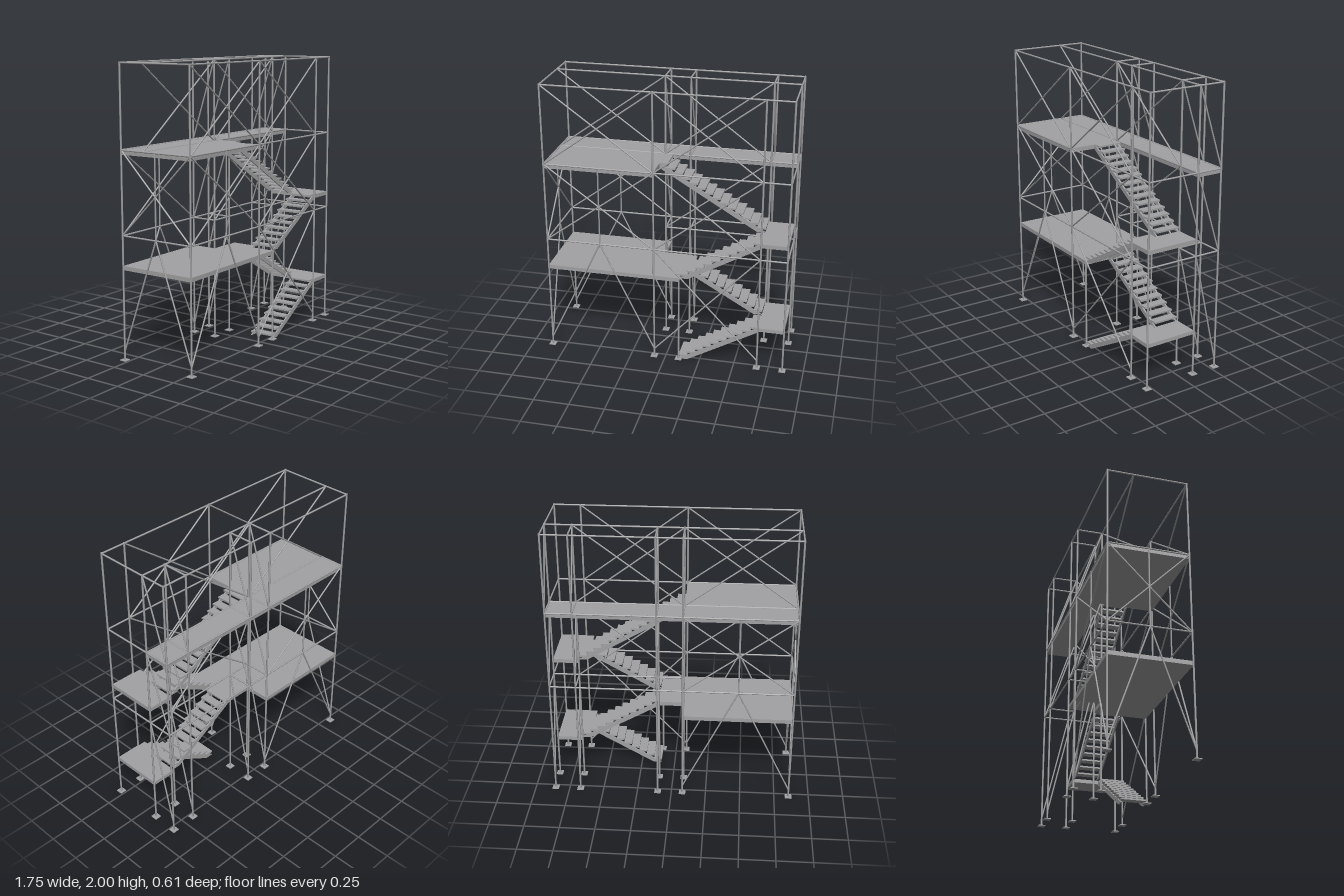
import * as THREE from 'three';

const steel = new THREE.MeshStandardMaterial({ color: 0xa2a2a4 });
steel.name = 'galvanised steel';

// Post lines, level heights and depth lines of the frame
const X = [-0.853, -0.08, 0.1, 0.668, 0.852];
const FRONT = 0.283, MID = -0.097, BACK = -0.283;
const FOOT = 0.06, LOW = 0.86, DECK = 1.43, TOP = 1.994;
const XM = (X[0] + X[1]) / 2;

export function createModel() {
  const model = new THREE.Group();
  model.name = 'scaffoldStairTower';

  const add = (name, geo) => {
    const m = new THREE.Mesh(geo, steel);
    m.name = name;
    model.add(m);
    return m;
  };
  // Round bar between two points
  const bar = (name, a, b, r = 0.0055) => {
    const p = new THREE.Vector3(...a), q = new THREE.Vector3(...b);
    const d = q.clone().sub(p);
    const m = add(name, new THREE.CylinderGeometry(r, r, d.length(), 8));
    m.position.copy(p).add(q).multiplyScalar(0.5);
    m.quaternion.setFromUnitVectors(new THREE.Vector3(0, 1, 0), d.normalize());
  };
  // Box given by its limits
  const slab = (name, x0, x1, y0, y1, z0, z1) => {
    const m = add(name, new THREE.BoxGeometry(x1 - x0, y1 - y0, z1 - z0));
    m.position.set((x0 + x1) / 2, (y0 + y1) / 2, (z0 + z1) / 2);
  };
  const cross = (x0, x1, y0, y1, z) => {
    bar('crossBrace', [x0, y0, z], [x1, y1, z]);
    bar('crossBrace', [x0, y1, z], [x1, y0, z]);
  };

  // Posts with base plates
  const post = (x, z, h = 2) => {
    bar('post', [x, 0, z], [x, h, z], 0.0068);
    slab('basePlate', x - 0.024, x + 0.024, 0, 0.006, z - 0.024, z + 0.024);
  };
  for (const x of X) {
    post(x, BACK);
    if (x !== X[0]) post(x, MID);
    post(x, FRONT, x === X[2] ? 0.655 : 2);
  }

  // Horizontal rails at each level
  for (const y of [LOW, DECK, TOP]) {
    for (const z of [FRONT, MID, BACK]) {
      const start = z === MID && y === LOW ? X[1] : X[0];
      bar('longRail', [start, y, z], [X[4], y, z], 0.006);
    }
    bar('endRail', [X[0], y, BACK], [X[0], y, FRONT], 0.006);
    bar('endRail', [X[4], y, BACK], [X[4], y, FRONT], 0.006);
    for (const x of X.slice(1, 4)) bar('crossRail', [x, y, BACK], [x, y, MID], 0.006);
  }

  // Sloping braces between the rear two rows of posts
  for (const x of X.slice(1))
    for (const [y0, y1] of [[FOOT, LOW], [LOW, DECK], [DECK, TOP]])
      bar('rearBrace', [x, y1, MID], [x, y0, BACK]);

  // Cross bracing of the long bays
  for (const z of [FRONT, MID]) {
    cross(X[0], X[1], DECK, TOP, z);
    cross(X[1], X[3], DECK, TOP, z);
    cross(X[1], X[3], LOW, DECK, z);
  }
  cross(X[1], X[3], FOOT, LOW, FRONT);

  // Left bay: crosses, centre struts and inverted V legs
  for (const z of [FRONT, BACK]) {
    cross(X[0], X[1], LOW, DECK, z);
    bar('centreStrut', [XM, LOW, z], [XM, DECK, z]);
    for (const x of [X[0], X[1]]) bar('vBrace', [XM, LOW, z], [x, FOOT, z]);
  }
  bar('centreStrut', [X[0], LOW, 0], [X[0], DECK, 0]);
  for (const s of [1, -1]) {
    bar('vBrace', [X[0], LOW, 0], [X[0], FOOT, s * FRONT]);
    bar('endBrace', [X[0], LOW, -s * FRONT], [X[0], DECK, s * FRONT]);
  }

  // Decks and landings
  slab('upperDeck', X[0], X[1], 1.4, 1.43, BACK, FRONT);
  slab('upperWalkway', X[1], X[4], 1.4, 1.43, BACK, MID);
  slab('lowerDeck', X[0], X[1], 0.627, 0.656, BACK, FRONT);
  slab('lowerDeckExtension', X[1], X[2], 0.627, 0.656, MID, FRONT);
  slab('landing', X[3], X[4], 0.3, 0.327, MID, FRONT);
  slab('landing', X[3], X[4], 0.952, 0.98, MID, FRONT);

  // Stair flight: two sloping stringers and open treads
  const flight = (x0, y0, x1, y1, z0, z1, n) => {
    const dx = (x1 - x0) / n, dy = (y1 - y0) / n, drop = 0.036, t = 0.01;
    const side = new THREE.Shape([
      new THREE.Vector2(x0, y0), new THREE.Vector2(x1, y1),
      new THREE.Vector2(x1, y1 - drop), new THREE.Vector2(x0 + (drop * dx) / dy, y0),
    ]);
    for (const z of [z0, z1 - t])
      add('stringer', new THREE.ExtrudeGeometry(side, { depth: t, bevelEnabled: false })).position.z = z;
    for (let i = 0; i < n; i++) {
      const c = x0 + dx * (i + 0.5), y = y0 + dy * (i + 1);
      slab('tread', c - 0.03, c + 0.03, y - 0.012, y, z0 + 0.002, z1 - 0.002);
    }
  };
  flight(X[2], 0, X[3], 0.327, 0.097, 0.28, 10);
  flight(X[3], 0.327, X[2], 0.656, -0.092, 0.091, 10);
  flight(X[2], 0.656, X[3], 0.98, 0.097, 0.28, 10);
  flight(X[3], 0.98, X[1], 1.43, -0.092, 0.091, 14);

  return model;
}
